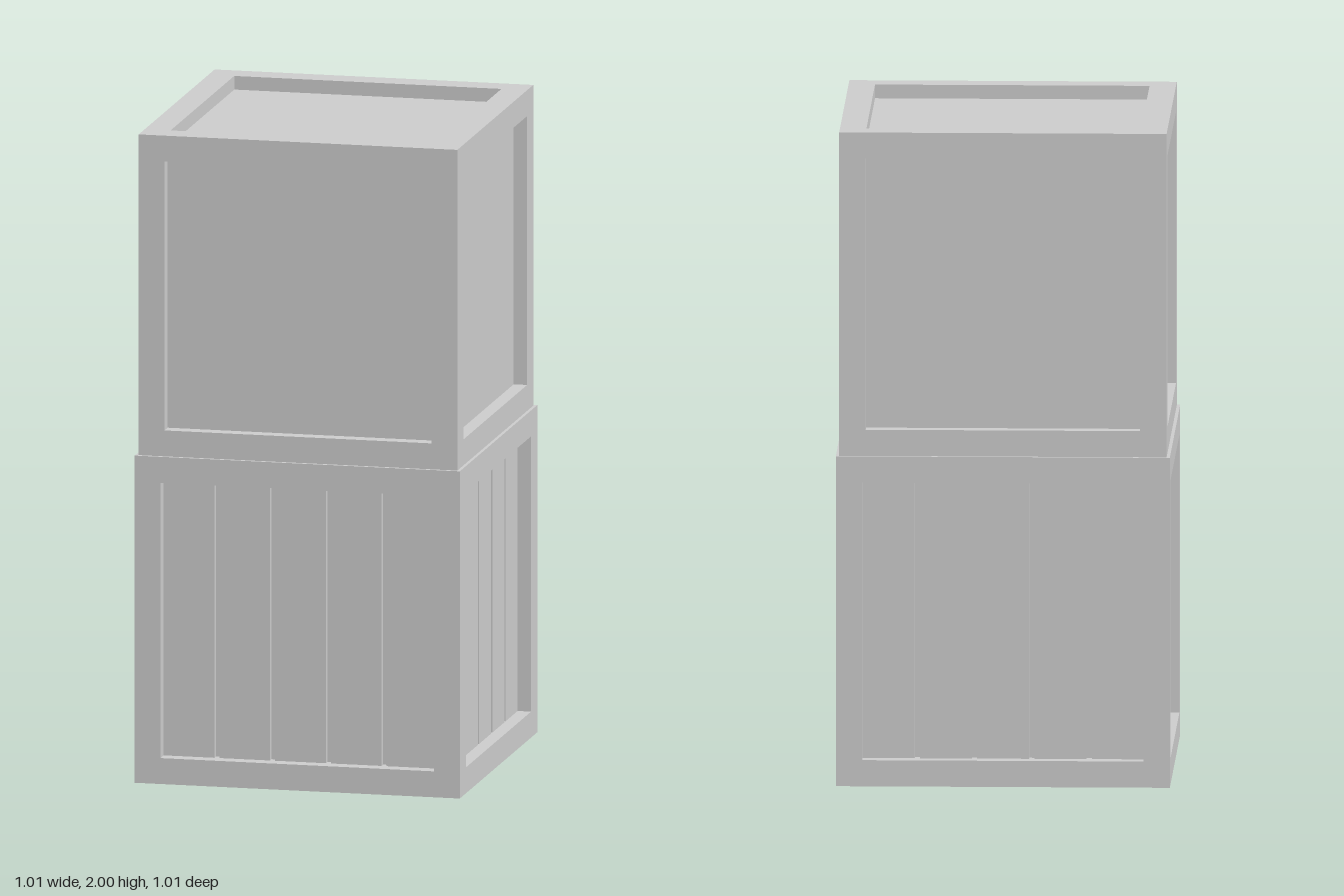
import * as THREE from 'three';

const BEAM = 0.08;    // frame beam thickness
const RECESS = 0.042; // how far the panels sit behind the frame
const GAP = 0.016;    // gap between planks
const PLANK = 0.02;   // plank thickness
const material = new THREE.MeshStandardMaterial({ color: 0xcccccc, flatShading: true });

function box(parent, name, size, position = [0, 0, 0]) {
  const mesh = new THREE.Mesh(new THREE.BoxGeometry(...size), material);
  mesh.name = name;
  mesh.position.set(...position);
  parent.add(mesh);
}

// Twelve beams along the edges of a cube, meeting without overlap
function makeFrame(size) {
  const frame = new THREE.Group();
  frame.name = 'frame';
  const inner = size - 2 * BEAM;
  const c = (size - BEAM) / 2;
  for (const a of [-c, c]) {
    for (const b of [-c, c]) {
      box(frame, 'cornerPost', [BEAM, size, BEAM], [a, 0, b]);
      box(frame, 'widthRail', [inner, BEAM, BEAM], [0, a, b]);
      box(frame, 'depthRail', [BEAM, BEAM, inner], [a, b, 0]);
    }
  }
  return frame;
}

// Five upright planks filling one face opening, facing +z
function makePlanks(size) {
  const side = new THREE.Group();
  side.name = 'plankedSide';
  const opening = size - 2 * BEAM;
  const width = (opening - 4 * GAP) / 5;
  const z = size / 2 - RECESS - PLANK / 2;
  for (let i = 0; i < 5; i++) {
    box(side, 'plank', [width, opening, PLANK], [(i - 2) * (width + GAP), 0, z]);
  }
  return side;
}

function makeCrate(name, size, planked) {
  const crate = new THREE.Group();
  crate.name = name;
  crate.add(makeFrame(size));
  // Solid core: the flat panels, or the backing behind the planks
  const core = size - 2 * (RECESS + (planked ? PLANK : 0));
  box(crate, planked ? 'backing' : 'panels', [core, core, core]);
  if (planked) {
    const q = Math.PI / 2;
    const turns = [[0, 0, 0], [0, q, 0], [0, 2 * q, 0], [0, -q, 0], [q, 0, q], [-q, 0, q]];
    for (const turn of turns) {
      const side = makePlanks(size);
      side.rotation.set(...turn);
      crate.add(side);
    }
  }
  return crate;
}

export function createModel() {
  const model = new THREE.Group();
  model.name = 'stackedCrates';
  const lower = makeCrate('lowerCrate', 1.01, true);
  lower.position.y = 0.505;
  const upper = makeCrate('upperCrate', 0.99, false);
  upper.position.y = 1.505;
  model.add(lower, upper);
  return model;
}
